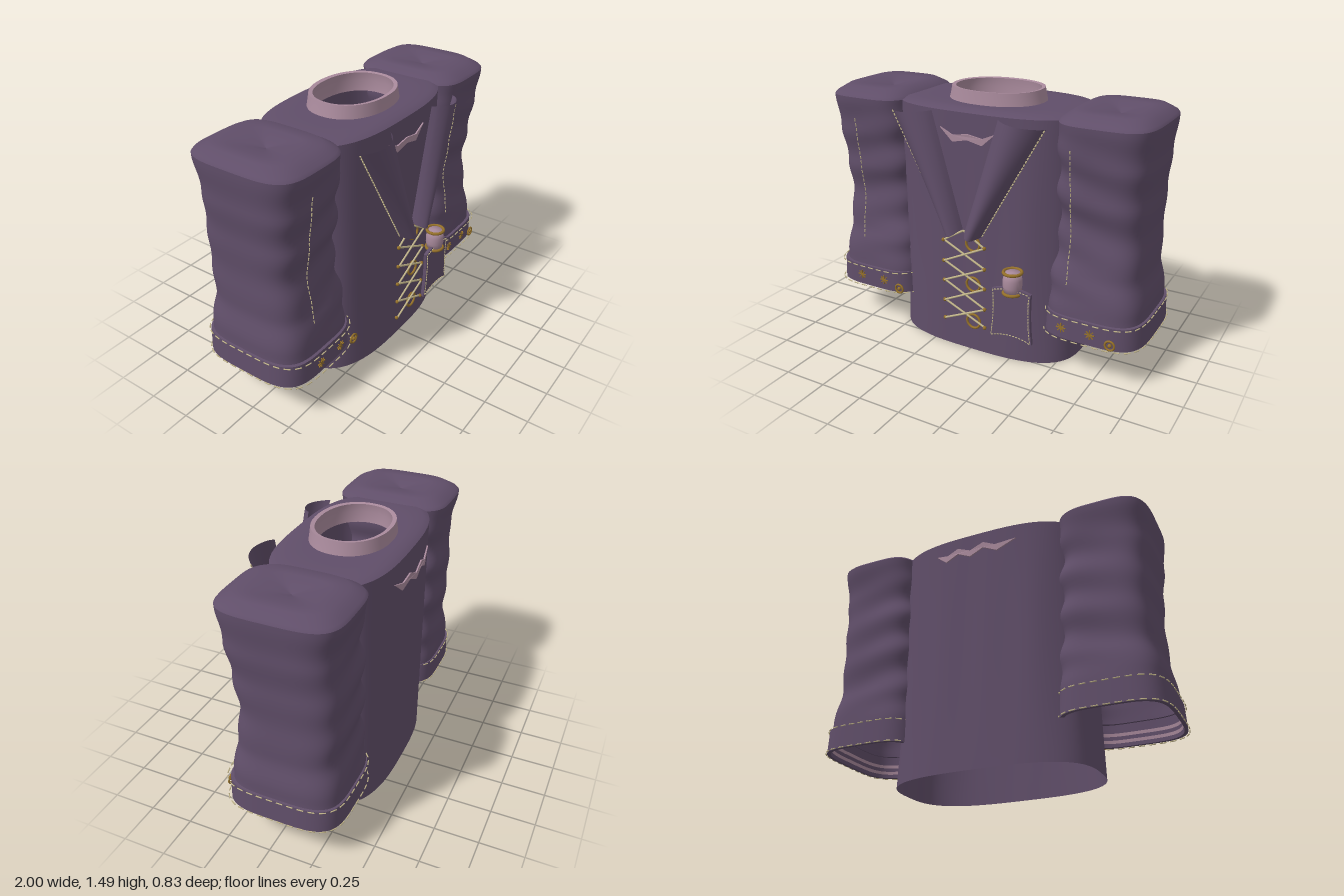
import * as THREE from 'three';
import { mergeGeometries } from 'three/addons/utils/BufferGeometryUtils.js';

const mat = (name, color) => {
  const m = new THREE.MeshStandardMaterial({ color, side: THREE.DoubleSide });
  m.name = name;
  return m;
};

// Point on a rounded-rectangle ring { y, x, z, a, b, n }
function ringPoint(r, t, grow = 0) {
  const c = Math.cos(t), s = Math.sin(t);
  const k = Math.pow(Math.abs(c) ** r.n + Math.abs(s) ** r.n, -1 / r.n);
  return new THREE.Vector3(r.x + (r.a + grow) * c * k, r.y, r.z + (r.b + grow) * s * k);
}

// Grid surface from a point function; wraps round when closed
function surface(rows, cols, closed, point) {
  const pos = [], idx = [], w = closed ? cols : cols + 1;
  for (let j = 0; j <= rows; j++)
    for (let i = 0; i < w; i++) pos.push(...point(j, i / cols).toArray());
  for (let j = 0; j < rows; j++)
    for (let i = 0; i < cols; i++) {
      const a = j * w + i, b = j * w + (i + 1) % w;
      idx.push(a, a + w, b, b, a + w, b + w);
    }
  const g = new THREE.BufferGeometry();
  g.setAttribute('position', new THREE.Float32BufferAttribute(pos, 3));
  g.setIndex(idx);
  g.computeVertexNormals();
  return g;
}
const loft = (rings, warp = () => 0) => surface(rings.length - 1, 96, true,
  (j, u) => ringPoint(rings[j], u * Math.PI * 2, warp(rings[j].y, u * Math.PI * 2)));

// Linear lookup in [[y, value...], ...] sorted by rising y
function lookup(table, y) {
  let i = 0;
  while (i < table.length - 2 && y > table[i + 1][0]) i++;
  const p = table[i], q = table[i + 1], f = (y - p[0]) / (q[0] - p[0]);
  const e = f * f * (3 - 2 * f);
  return p.slice(1).map((v, k) => v + (q[k + 1] - v) * e);
}

// Row of short thread dashes along a curve
function dashes(curve, n, length, r = 0.0035) {
  const parts = [], up = new THREE.Vector3(0, 1, 0);
  for (let i = 0; i < n; i++) {
    const u = (i + 0.5) / n;
    const g = new THREE.CylinderGeometry(r, r, length, 5);
    g.applyQuaternion(new THREE.Quaternion().setFromUnitVectors(up, curve.getTangentAt(u)));
    const p = curve.getPointAt(u);
    parts.push(g.translate(p.x, p.y, p.z));
  }
  return mergeGeometries(parts);
}
const V = (x, y, z) => new THREE.Vector3(x, y, z);
const tube = (a, b, r) => new THREE.TubeGeometry(new THREE.LineCurve3(a, b), 1, r, 6);

export function createModel() {
  const cloth = mat('purpleCloth', 0x604e69);
  const pink = mat('pinkLining', 0xa98a9c);
  const gold = mat('gold', 0x94702a);
  const thread = mat('creamThread', 0xc4b78c);
  const model = new THREE.Group();
  model.name = 'jacket';
  const add = (name, geo, m, parent = model) => {
    const mesh = new THREE.Mesh(geo, m);
    mesh.name = name;
    parent.add(mesh);
    return mesh;
  };

  // Torso shell, open at the hem
  const torso = [];
  for (let i = 0; i <= 20; i++) {
    const y = i * 0.07;
    torso.push({ y, x: 0, z: -0.042, a: 0.565 - 0.015 * Math.sin(y / 1.4 * Math.PI), b: 0.332, n: 3 });
  }
  add('torso', loft(torso, (y, t) => 0.003 * Math.sin(t * 14) * Math.sin(y / 1.4 * Math.PI)), cloth);
  add('shoulderYoke', loft([
    { y: 1.4, x: 0, z: -0.042, a: 0.565, b: 0.332, n: 3 },
    { y: 1.418, x: 0, z: -0.042, a: 0.52, b: 0.3, n: 3 },
    { y: 1.42, x: 0, z: -0.045, a: 0.4, b: 0.25, n: 2.5 },
    { y: 1.42, x: 0, z: -0.045, a: 0.26, b: 0.205, n: 2.2 },
  ]), cloth);

  // Neck band
  const neck = (y, a, b) => ({ y, x: 0, z: -0.043, a, b, n: 2.2 });
  add('collarOutside', loft([neck(1.41, 0.28, 0.222), neck(1.45, 0.27, 0.217), neck(1.49, 0.262, 0.213)]), pink);
  add('collarRim', loft([neck(1.49, 0.262, 0.213), neck(1.487, 0.242, 0.19)]), pink);
  add('collarInside', loft([neck(1.487, 0.242, 0.19), neck(1.44, 0.25, 0.195), neck(1.38, 0.243, 0.19)]), pink);

  // Sleeves: y, inner x, outer x, back z, front z
  const sleeveTable = [
    [0.23, 0.42, 0.985, -0.36, 0.275], [0.4, 0.42, 0.972, -0.36, 0.27], [0.6, 0.43, 0.943, -0.335, 0.24],
    [0.8, 0.45, 0.936, -0.345, 0.212], [1.0, 0.45, 0.942, -0.345, 0.235], [1.2, 0.455, 0.957, -0.335, 0.258],
    [1.4, 0.455, 0.972, -0.37, 0.285]];
  const sleeveRing = (y, s, scale = 1, top = y) => {
    const [xi, xo, zb, zf] = lookup(sleeveTable, y);
    return { y: top, x: s * (xi + xo) / 2, z: (zb + zf) / 2, a: (xo - xi) / 2 * scale, b: (zf - zb) / 2 * scale, n: 4 };
  };
  const side = (name, s) => {
    const g = new THREE.Group();
    g.name = name;
    model.add(g);

    const rings = [];
    for (let i = 0; i <= 48; i++) rings.push(sleeveRing(0.25 + 1.15 * i / 48, s));
    add('sleeve', loft(rings, (y, t) => {
      const across = s * Math.cos(t);
      const fade = Math.min(1, (1.4 - y) * 5, Math.max(0, (y - 0.34) * 5));
      return 0.013 * fade * (0.55 - 0.45 * across) * Math.sin(y * 27 + across * 1.6);
    }), cloth, g);
    add('sleeveCap', loft([[1, 1.4], [0.96, 1.415], [0.76, 1.45], [0.5, 1.447], [0.2, 1.432], [0.01, 1.415]]
      .map(([k, y]) => sleeveRing(1.4, s, k, y))), cloth, g);

    // Cuff with lining
    const cuff = y => ({ y, x: s * 0.703, z: -0.042, a: 0.291 - (y - 0.23) * 0.06, b: 0.328, n: 4 });
    add('cuff', loft([cuff(0.23), cuff(0.3), cuff(0.36)]), cloth, g);
    add('cuffTopEdge', loft([cuff(0.36), { ...cuff(0.362), a: 0.265, b: 0.3 }]), cloth, g);
    const lining = (y, d) => ({ ...cuff(y), a: 0.291 - d, b: 0.328 - d });
    add('cuffHem', loft([lining(0.23, 0), lining(0.23, 0.018)]), cloth, g);
    [0.25, 0.29].forEach(y => add('cuffLining', loft([lining(y, 0.022), lining(y + 0.018, 0.024)]), pink, g));
    for (const y of [0.232, 0.358]) {
      const pts = [];
      for (let i = 0; i < 48; i++) pts.push(ringPoint(cuff(y), i / 48 * Math.PI * 2, 0.005).add(V(0, 0, Math.sin(i / 48 * Math.PI * 2) > 0 ? 0.012 : 0)));
      add('cuffStitching', dashes(new THREE.CatmullRomCurve3(pts, true), 38, 0.035), thread, g);
    }

    // Seam stitching, star stitches and ring button run the same way on both sleeves
    const shift = s > 0 ? 1.34 : 0;
    const seam = [];
    for (let i = 0; i <= 12; i++) {
      const y = 0.53 + i * 0.0625;
      seam.push(V(shift - 0.765, y, lookup(sleeveTable, y)[3] + 0.008));
    }
    add('seamStitching', dashes(new THREE.CatmullRomCurve3(seam), 26, 0.017, 0.003), thread, g);
    for (const x of [-0.77, -0.605]) {
      const arms = [0, 1, 2, 3].map(k => new THREE.BoxGeometry(0.055, 0.005, 0.006).rotateZ(k * Math.PI / 4));
      add('starStitch', mergeGeometries(arms).translate(x + shift, 0.3, 0.297), gold, g);
    }
    const button = add('ringButton', new THREE.TorusGeometry(0.026, 0.006, 8, 24), gold, g);
    button.position.set(-0.49 + shift, 0.27, 0.3);
    const core = add('buttonKnot', new THREE.SphereGeometry(0.011, 10, 8), gold, g);
    core.position.copy(button.position);

    // Rolled lapel
    const outer = v => V(s * (0.46 - 0.35 * v), 1.375 - 0.63 * v, 0.31 + 0.02 * v);
    const inner = v => V(s * (0.2 - 0.19 * v), 1.4 - 0.63 * v, 0.325 + 0.015 * v);
    add('lapel', surface(14, 16, false, (j, u) => {
      const v = j / 14, p = outer(v).lerp(inner(v), u);
      p.z += (0.073 + 0.008 * v) * Math.sin(Math.PI * u) ** 0.7;
      p.y -= 0.02 * Math.sin(Math.PI * u) * v;
      return p;
    }), cloth, g);
    add('lapelStitching', dashes(new THREE.LineCurve3(outer(0).add(V(0, 0, 0.012)), outer(1).add(V(0, 0, 0.012))), 34, 0.013, 0.004), thread, g);
  };
  side('leftSide', 1);
  side('rightSide', -1);

  // Crossed laces with small knots at the ends
  const laces = [], knots = [], levels = [0.685, 0.56, 0.44, 0.315, 0.2];
  for (const s of [-1, 1]) {
    laces.push(tube(V(0, 0.765, 0.35), V(s * 0.13, 0.685, 0.35), 0.006));
    levels.forEach((y, i) => {
      knots.push(new THREE.SphereGeometry(0.011, 8, 6).translate(s * 0.13, y, 0.35));
      if (i < 4) laces.push(tube(V(s * 0.13, y, 0.35 + s * 0.004), V(-s * 0.13, levels[i + 1], 0.35 + s * 0.004), 0.006));
    });
  }
  add('laces', mergeGeometries(laces), thread);
  add('laceKnots', mergeGeometries(knots), gold);
  for (const y of [0.69, 0.445, 0.215]) {
    add('laceRing', new THREE.TorusGeometry(0.042, 0.007, 8, 28), gold).position.set(0.05, y, 0.335);
  }

  // Hanging pocket
  const shape = new THREE.Shape();
  shape.moveTo(0.165, 0.17);
  shape.quadraticCurveTo(0.295, 0.22, 0.425, 0.175);
  shape.quadraticCurveTo(0.405, 0.32, 0.415, 0.475);
  shape.quadraticCurveTo(0.3, 0.51, 0.18, 0.465);
  shape.quadraticCurveTo(0.19, 0.32, 0.165, 0.17);
  add('pocket', new THREE.ExtrudeGeometry(shape, { depth: 0.02, bevelEnabled: false, curveSegments: 12 }).translate(0, 0, 0.335), cloth);
  const edge = shape.getPoints(10).map(p => V(0.296 + (p.x - 0.296) * 0.93, 0.33 + (p.y - 0.33) * 0.95, 0.358));
  add('pocketStitching', dashes(new THREE.CatmullRomCurve3(edge), 54, 0.012, 0.003), thread);

  // Thread spool
  const spool = new THREE.Group();
  spool.name = 'spool';
  spool.position.set(0.298, 0.52, 0.338);
  model.add(spool);
  add('spoolThread', new THREE.LatheGeometry([[0, -0.06], [0.045, -0.06], [0.053, -0.02], [0.053, 0.02], [0.045, 0.06], [0, 0.06]]
    .map(p => new THREE.Vector2(...p)), 24), pink, spool);
  for (const y of [-0.06, 0.06]) {
    const rim = add('spoolRim', new THREE.TorusGeometry(0.05, 0.009, 8, 28).rotateX(Math.PI / 2), gold, spool);
    rim.position.y = y;
  }

  // Zigzag trims on chest and back
  const zigzag = (name, top, bottom, z, bend) => {
    const pts = [...top, ...bottom.slice().reverse()].map(p => new THREE.Vector2(...p));
    const g = new THREE.ExtrudeGeometry(new THREE.Shape(pts), { depth: 0.008, bevelEnabled: false });
    const p = g.attributes.position;
    for (let i = 0; i < p.count; i++) p.setZ(i, p.getZ(i) + z + bend * p.getX(i) ** 2);
    g.computeVertexNormals();
    add(name, g, pink);
  };
  zigzag('chestTrim', [[-0.17, 1.31], [-0.09, 1.275], [0, 1.29], [0.09, 1.275], [0.17, 1.31]],
    [[-0.09, 1.238], [0, 1.258], [0.09, 1.238]], 0.296, -0.2);
  zigzag('backTrim', [[-0.25, 1.305], [-0.13, 1.28], [-0.06, 1.31], [0.02, 1.275], [0.1, 1.31], [0.17, 1.285], [0.25, 1.305]],
    [[-0.14, 1.24], [-0.06, 1.275], [0.02, 1.235], [0.1, 1.275], [0.18, 1.245]], -0.41, 0.5);

  return model;
}
